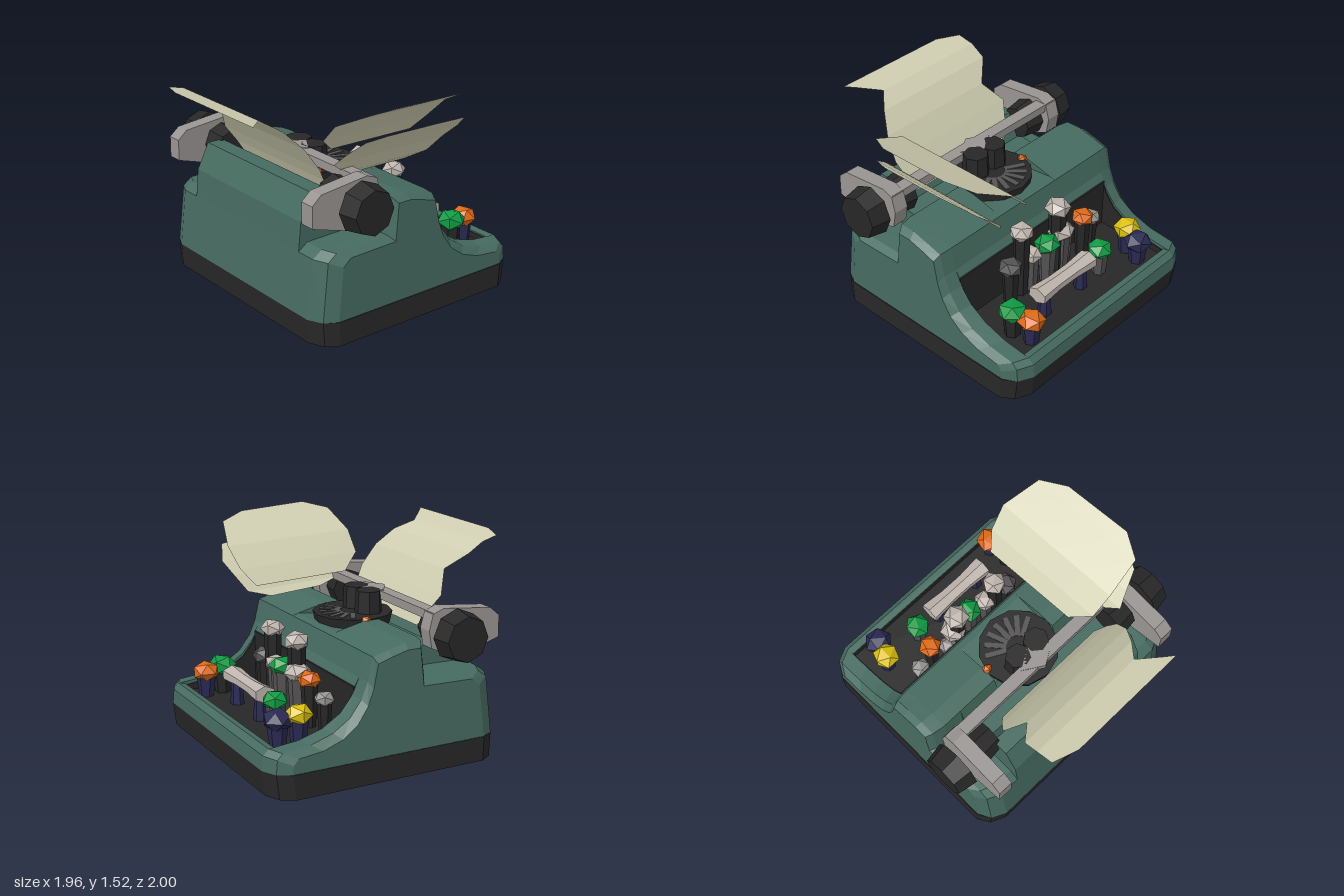
import * as THREE from 'three';

const mat = (name, color, extra = {}) => {
  const m = new THREE.MeshStandardMaterial({ color, flatShading: true, ...extra });
  m.name = name;
  return m;
};
const M = {
  shell: mat('shellGreen', 0x466b60),
  black: mat('black', 0x272727),
  grey: mat('metalGrey', 0x989492),
  dark: mat('darkGrey', 0x555353),
  ivory: mat('ivory', 0xbfb5ae),
  paper: mat('paperCream', 0xcfceb1, { side: THREE.DoubleSide }),
  orange: mat('orange', 0xe06a16),
  green: mat('keyGreen', 0x109a44),
  yellow: mat('yellow', 0xdcc010),
  navy: mat('navy', 0x2a2a55),
};

// Joins xy cross-sections [z, points] along z and caps both ends
function loft(sections) {
  const pos = [];
  const put = ([x, y], z) => pos.push(x, y, Math.abs(z) > 0.8 ? z * (1 - 0.025 * y) : z);
  for (let s = 0; s + 1 < sections.length; s++) {
    const [z0, p] = sections[s], [z1, q] = sections[s + 1];
    for (let i = 0; i < p.length; i++) {
      const j = (i + 1) % p.length;
      put(p[i], z0); put(p[j], z0); put(q[j], z1);
      put(p[i], z0); put(q[j], z1); put(q[i], z1);
    }
  }
  const cap = ([z, p], flip) => {
    const pts = p.map(([x, y]) => new THREE.Vector2(x, y));
    for (const [a, b, c] of THREE.ShapeUtils.triangulateShape(pts, []))
      (flip ? [a, c, b] : [a, b, c]).forEach((k) => put(p[k], z));
  };
  cap(sections[0], true);
  cap(sections[sections.length - 1], false);
  const g = new THREE.BufferGeometry();
  g.setAttribute('position', new THREE.Float32BufferAttribute(pos, 3));
  g.computeVertexNormals();
  return g;
}
const slab = (p, z0, z1) => loft([[z0, p], [z1, p]]);

// Pulls a section inward so the plan corners look rounded
const squeeze = (p, d, drop = 0) =>
  p.map(([x, y]) => [0.12 + (x - 0.12) * (1 - d / 0.86), y > 0.25 ? y - drop : y]);

// Sheet whose rows are [point at one edge, point at the other edge]
function sheet(rows, n = 4) {
  const pos = [], idx = [];
  rows.forEach(([a, b], r) => {
    for (let i = 0; i <= n; i++) {
      a.forEach((v, k) => pos.push(v + (b[k] - v) * i / n));
      if (r && i) {
        const c = r * (n + 1) + i, d = c - n - 1;
        idx.push(d - 1, c - 1, c, d - 1, c, d);
      }
    }
  });
  const g = new THREE.BufferGeometry();
  g.setAttribute('position', new THREE.Float32BufferAttribute(pos, 3));
  g.setIndex(idx);
  g.computeVertexNormals();
  return g;
}

export function createModel() {
  const root = new THREE.Group();
  root.name = 'typewriter';
  const add = (name, geo, m, x = 0, y = 0, z = 0) => {
    const mesh = new THREE.Mesh(geo, m);
    mesh.name = name;
    mesh.position.set(x, y, z);
    root.add(mesh);
    return mesh;
  };

  // Base
  const base = [[-0.73, 0], [0.96, 0], [0.98, 0.17], [-0.74, 0.17]];
  add('base', loft([
    [-0.915, squeeze(base, 0.14)], [-0.86, squeeze(base, 0.05)], [-0.75, base],
    [0.75, base], [0.86, squeeze(base, 0.05)], [0.915, squeeze(base, 0.14)],
  ]), M.black);

  // Shell: side cheeks, stepped middle and front lip
  const hood = [[0.24, 0.84], [0.12, 0.87], [-0.02, 0.9], [-0.14, 0.9]];
  const shelf = [[-0.17, 0.64], [-0.62, 0.63], [-0.69, 0.58]];
  const backWall = [[-0.17, 0.76], [-0.38, 0.78], [-0.46, 0.96], [-0.58, 0.96], [-0.67, 0.78], [-0.69, 0.58]];
  const cheek = [[-0.74, 0.17], [0.98, 0.17], [0.97, 0.27], [0.93, 0.31], [0.72, 0.33], [0.55, 0.38],
    [0.42, 0.46], [0.33, 0.57], [0.28, 0.68], ...hood, ...shelf];
  const front = [[-0.74, 0.17], [0.29, 0.17], [0.31, 0.63], [0.28, 0.68]];
  add('leftCheek', loft([[0.75, cheek], [0.86, squeeze(cheek, 0.05, 0.005)], [0.91, squeeze(cheek, 0.14, 0.04)]]), M.shell);
  add('rightCheek', loft([[-0.91, squeeze(cheek, 0.14, 0.04)], [-0.86, squeeze(cheek, 0.05, 0.005)], [-0.75, cheek]]), M.shell);
  for (const [a, b] of [[-0.75, -0.6], [0.6, 0.75]]) add('shelfSection', slab([...front, ...hood, ...shelf], a, b), M.shell);
  for (const [a, b] of [[-0.6, -0.28], [0.28, 0.6]]) add('hoodSection', slab([...front, ...hood, ...backWall], a, b), M.shell);
  add('hoodDip', slab([...front, [0.24, 0.84], [0.19, 0.85], [0.1, 0.84], [-0.14, 0.82], ...backWall], -0.28, 0.28), M.shell);
  add('frontLip', slab([[0.88, 0.17], [0.98, 0.17], [0.97, 0.27], [0.93, 0.31], [0.88, 0.3]], -0.75, 0.75), M.shell);

  // Keyboard well lining
  add('wellFloor', new THREE.BoxGeometry(0.6, 0.08, 1.5), M.black, 0.59, 0.21, 0);
  add('wellBack', new THREE.BoxGeometry(0.03, 0.4, 1.5), M.black, 0.305, 0.42, 0);
  add('wellFront', new THREE.BoxGeometry(0.008, 0.11, 1.5), M.black, 0.877, 0.235, 0);
  const lining = [[0.3, 0.2], [0.88, 0.2], [0.87, 0.29], [0.72, 0.31], [0.55, 0.36], [0.42, 0.44], [0.34, 0.54], [0.31, 0.62]];
  for (const z of [-0.749, 0.741]) add('wellSide', slab(lining, z, z + 0.008), M.black);

  // Type basket with a fan of type bars
  add('basketRim', new THREE.CylinderGeometry(0.28, 0.26, 0.09, 12), M.black, -0.09, 0.86, 0);
  for (let i = 0; i < 7; i++) {
    const a = (i - 3) * 0.36;
    const bar = add('typeBar', new THREE.BoxGeometry(0.15, 0.02, 0.035), M.dark,
      -0.09 + 0.16 * Math.cos(a), 0.9, 0.16 * Math.sin(a));
    bar.rotation.y = -a;
  }
  for (const s of [-1, 1])
    add('ribbonSpool', new THREE.CylinderGeometry(0.09, 0.1, 0.2, 7), M.black, -0.17, 0.96, s * 0.085);
  add('ribbonMark', new THREE.IcosahedronGeometry(0.04, 0), M.orange, -0.05, 0.89, -0.26);
  add('ribbonMark', new THREE.IcosahedronGeometry(0.04, 0), M.orange, -0.23, 0.89, 0.21);

  // Carriage rail
  add('carriageRail', new THREE.BoxGeometry(0.09, 0.06, 1.62), M.grey, -0.28, 1.025, 0);
  const guide = add('paperGuide', new THREE.CylinderGeometry(0.09, 0.09, 0.05, 4), M.grey, -0.26, 1.035, 0);
  guide.scale.z = 1.6;

  // Carriage ends and roller knobs
  const plate = [[-0.75, 0.83], [-0.42, 0.73], [-0.22, 0.82], [-0.2, 0.94], [-0.23, 1.05], [-0.31, 1.08], [-0.68, 1.04], [-0.75, 0.98]];
  for (const s of [-1, 1]) {
    add('carriageEnd', slab(plate, s * 0.78 - 0.065, s * 0.78 + 0.065), M.grey);
    const knob = add('rollerKnob', new THREE.CylinderGeometry(0.155, 0.18, 0.14, 8), M.black, -0.39, 0.9, s * 0.93);
    knob.rotation.x = s * Math.PI / 2;
    const hub = add('rollerHub', new THREE.CylinderGeometry(0.12, 0.14, 0.16, 8), M.black, -0.39, 0.9, s * 0.65);
    hub.rotation.x = Math.PI / 2;
  }

  // Paper in the carriage, with ragged sides
  add('loadedPaper', sheet([
    [-0.98, 1.465, -0.35, 0.54], [-0.92, 1.45, -0.53, 0.47], [-0.8, 1.42, -0.54, 0.34], [-0.69, 1.35, -0.54, 0.44],
    [-0.58, 1.23, -0.41, 0.52], [-0.48, 1.08, -0.53, 0.55], [-0.42, 0.98, -0.48, 0.52], [-0.36, 0.86, -0.42, 0.47],
  ].map(([x, y, a, b]) => [[x, y, a], [x, y, b]])), M.paper);

  // Two loose curling sheets
  const loose = (name, rows) =>
    add(name, sheet(rows.map(([z, y, a, b]) => [[a, y, z], [b, y - 0.02, z - 0.03]])), M.paper);
  loose('upperLooseSheet', [[0.92, 1.52, -0.17, 0.34], [0.83, 1.475, -0.34, 0.53], [0.57, 1.35, -0.37, 0.61],
    [0.43, 1.21, -0.36, 0.58], [0.34, 1.1, -0.22, 0.5]]);
  loose('lowerLooseSheet', [[0.89, 1.34, -0.2, 0.26], [0.84, 1.31, -0.34, 0.54], [0.72, 1.21, -0.39, 0.59],
    [0.63, 1.12, -0.43, 0.54], [0.55, 1.01, -0.27, 0.47], [0.5, 0.97, -0.1, 0.31]]);

  // Keys: faceted caps on tapered stems
  const keys = [
    [0.65, 0.45, -0.61, 0.1, 'yellow', 'navy'], [0.78, 0.42, -0.57, 0.105, 'navy', 'navy'],
    [0.44, 0.58, -0.36, 0.085, 'orange', 'black'], [0.66, 0.45, -0.29, 0.095, 'green', 'dark'],
    [0.42, 0.57, -0.15, 0.1, 'ivory', 'dark'], [0.41, 0.78, -0.12, 0.095, 'ivory', 'black'],
    [0.41, 0.78, 0.25, 0.09, 'ivory', 'black'], [0.45, 0.57, 0.03, 0.095, 'green', 'dark'],
    [0.43, 0.55, 0.17, 0.08, 'ivory', 'dark'], [0.42, 0.55, 0.37, 0.09, 'dark', 'black'],
    [0.4, 0.48, -0.5, 0.075, 'grey', 'black'], [0.38, 0.5, -0.25, 0.07, 'grey', 'dark'],
    [0.79, 0.43, 0.57, 0.1, 'orange', 'navy'], [0.65, 0.45, 0.6, 0.105, 'green', 'black'],
  ];
  keys.forEach(([x, y, z, r, cap, stem], i) => {
    const top = add('keyCap', new THREE.IcosahedronGeometry(r, 0), M[cap], x, y, z);
    top.scale.y = 0.75;
    top.rotation.y = i * 0.9;
    const h = y - 0.25;
    add('keyStem', new THREE.CylinderGeometry(r * 0.7, r * 0.5, h, 6), M[stem], x, 0.25 + h / 2 - 0.02, z);
  });

  // Space bar, flared at both ends
  const bar = new THREE.CylinderGeometry(0.08, 0.08, 0.54, 6, 3);
  const p = bar.attributes.position;
  for (let i = 0; i < p.count; i++) {
    const k = Math.abs(p.getY(i)) < 0.2 ? 0.8 : 1;
    p.setXYZ(i, p.getX(i) * k, p.getY(i), p.getZ(i) * k * 0.75);
  }
  bar.rotateX(Math.PI / 2);
  add('spaceBar', bar, M.ivory, 0.67, 0.45, 0.11);
  for (const z of [-0.08, 0.3])
    add('spaceBarPost', new THREE.CylinderGeometry(0.04, 0.05, 0.2, 6), M.navy, 0.67, 0.33, z);

  return root;
}
